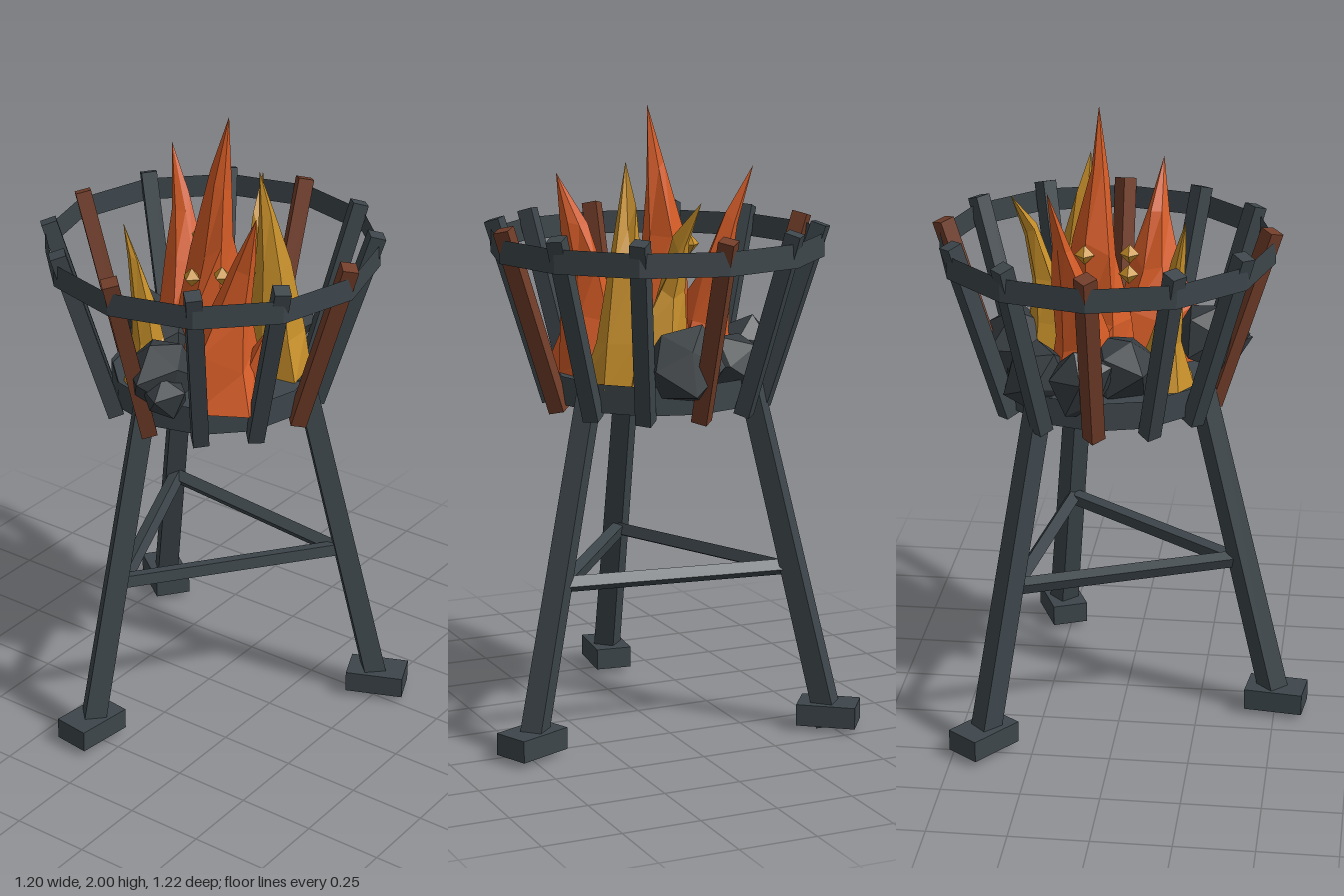
import * as THREE from 'three';

const paint = (name, color) => Object.assign(new THREE.MeshStandardMaterial({ color }), { name });
const V = (x, y, z) => new THREE.Vector3(x, y, z);

// Centre of the basket and tripod
const CX = -0.035, CZ = -0.062;
const polar = (deg, r, y) => {
  const a = THREE.MathUtils.degToRad(deg);
  return V(CX + r * Math.cos(a), y, CZ + r * Math.sin(a));
};

// Repeatable noise in -1..1 from a position, so shared corners move together
function noise(p, seed) {
  const s = Math.sin(Math.round(p.x * 1000) * 12.9898 + Math.round(p.y * 1000) * 78.233
    + Math.round(p.z * 1000) * 37.719 + seed * 4.137) * 43758.5453;
  return (s - Math.floor(s)) * 2 - 1;
}

// Move every vertex by a rule, then give each face its own flat normal
function faceted(geometry, rule) {
  const g = geometry.index ? geometry.toNonIndexed() : geometry;
  const pos = g.attributes.position;
  const p = V(0, 0, 0);
  for (let i = 0; rule && i < pos.count; i++) {
    p.fromBufferAttribute(pos, i);
    rule(p);
    pos.setXYZ(i, p.x, p.y, p.z);
  }
  g.computeVertexNormals();
  return g;
}

export function createModel() {
  const model = new THREE.Group();
  model.name = 'fireBasket';

  const steel = paint('steel', 0x3d464b);
  const hoopSteel = paint('hoop steel', 0x3d464b);
  hoopSteel.side = THREE.DoubleSide;
  const rust = paint('rust', 0x713d29);
  const coal = paint('coal', 0x363c40);
  const orange = paint('orange flame', 0xd65c26);
  const gold = paint('gold flame', 0xc8902a);

  const add = (name, geometry, material, parent = model) => {
    const mesh = new THREE.Mesh(geometry, material);
    mesh.name = name;
    parent.add(mesh);
    return mesh;
  };
  const group = (name) => {
    const g = new THREE.Group();
    g.name = name;
    model.add(g);
    return g;
  };

  // Four-sided bar tilted from upright to run between two points
  function beam(name, a, b, rBottom, rTop, material, parent) {
    const dir = b.clone().sub(a);
    const geo = faceted(new THREE.CylinderGeometry(rTop, rBottom, dir.length(), 4));
    const mesh = add(name, geo, material, parent);
    mesh.quaternion.setFromUnitVectors(V(0, 1, 0), dir.normalize());
    mesh.position.copy(a).add(b).multiplyScalar(0.5);
  }

  // Tripod: splayed legs, foot blocks and braces
  const tripod = group('tripod');
  const legAngles = [97, -23, 217];
  legAngles.forEach((deg, i) => {
    beam('leg', polar(deg, 0.575, 0.014), polar(deg, 0.3, 1.15), 0.05, 0.044, steel, tripod);
    const foot = add('foot', new THREE.BoxGeometry(0.19, 0.07, 0.12), steel, tripod);
    foot.position.copy(polar(deg, 0.57, 0.055));
    foot.rotation.y = -THREE.MathUtils.degToRad(deg);
    beam('brace', polar(deg, 0.42, 0.53), polar(legAngles[(i + 1) % 3], 0.42, 0.53),
      0.027, 0.027, steel, tripod);
  });

  // Basket: floor plate inside an open rim, twelve flared bars and the thin top hoop
  const basket = group('basket');
  const floor = add('basketFloor', faceted(new THREE.CylinderGeometry(0.32, 0.32, 0.04, 12)), steel, basket);
  floor.position.set(CX, 1.125, CZ);
  [['bottomHoop', 0.325, 0.09, 1.113], ['topHoop', 0.53, 0.075, 1.563]].forEach(([name, r, h, y]) => {
    const hoop = add(name, faceted(new THREE.CylinderGeometry(r, r, h, 12, 1, true)), hoopSteel, basket);
    hoop.position.set(CX, y, CZ);
  });
  for (let i = 0; i < 12; i++) {
    const rusty = i % 3 === 0;
    beam(rusty ? 'rustyBar' : 'bar', polar(i * 30, 0.335, 1.05), polar(i * 30, 0.517, 1.63),
      0.036, 0.036, rusty ? rust : steel, basket);
  }

  // Coals: rough lumps [x, y, z, radius]
  const coals = group('coals');
  [
    [0.02, 1.22, -0.355, 0.13], [0.0, 1.27, 0.25, 0.12], [-0.32, 1.21, -0.11, 0.105],
    [-0.19, 1.22, 0.0, 0.12], [-0.2, 1.18, -0.26, 0.11], [0.05, 1.22, 0.3, 0.085],
  ].forEach(([x, y, z, r], i) => {
    const geo = faceted(new THREE.IcosahedronGeometry(r, 0),
      (p) => p.multiplyScalar(1 + 0.2 * noise(p, i)));
    const lump = add('coal', geo, coal, coals);
    lump.position.set(x, y, z);
    lump.rotation.set(i, i * 1.7, 0);
  });

  // Flames: jagged cones leaning to a tip [material, base x, base z, radius, tip x, y, z, waist]
  const fire = group('fire');
  const BASE = 1.14;
  [
    [orange, -0.06, -0.08, 0.135, 0.01, 2.0, -0.09, 0],
    [orange, -0.16, -0.13, 0.12, -0.3, 1.81, -0.21, 0],
    [orange, 0.11, 0.06, 0.15, 0.243, 1.78, 0.09, 0],
    [gold, 0.13, -0.19, 0.115, 0.1, 1.83, -0.127, 0.1],
    [gold, 0.04, -0.23, 0.105, -0.05, 1.72, -0.36, 0.1],
    [gold, -0.13, 0.14, 0.105, -0.18, 1.7, 0.2, 0.4],
  ].forEach(([material, bx, bz, r, tx, ty, tz, waist], i) => {
    const h = ty - BASE;
    const geo = faceted(new THREE.CylinderGeometry(0, r, h, 6, 4), (p) => {
      const t = p.y / h + 0.5;
      const rim = Math.hypot(p.x, p.z) > 0.001;
      const k = (rim ? 1 + 0.3 * noise(p, i) : 1) * (1 - waist * Math.sin(Math.PI * t));
      const rise = rim && t > 0.1 ? 0.04 * noise(p, i + 20) : 0;
      p.set(bx + (tx - bx) * t * t + p.x * k, BASE + t * h + rise, bz + (tz - bz) * t * t + p.z * k);
    });
    add('flame', geo, material, fire);
  });

  // Small side tongue on the right of the fire
  const tongue = add('flameTongue', faceted(new THREE.ConeGeometry(0.075, 0.24, 5)), orange, fire);
  tongue.position.set(0.215, 1.28, 0.04);
  tongue.rotation.z = -0.3;

  // Sparks
  [[-0.125, 1.56, -0.12], [-0.06, 1.48, 0.01], [0.05, 1.51, 0.0]].forEach(([x, y, z]) => {
    const spark = add('spark', faceted(new THREE.OctahedronGeometry(0.032)), gold, fire);
    spark.position.set(x, y, z);
  });

  return model;
}
